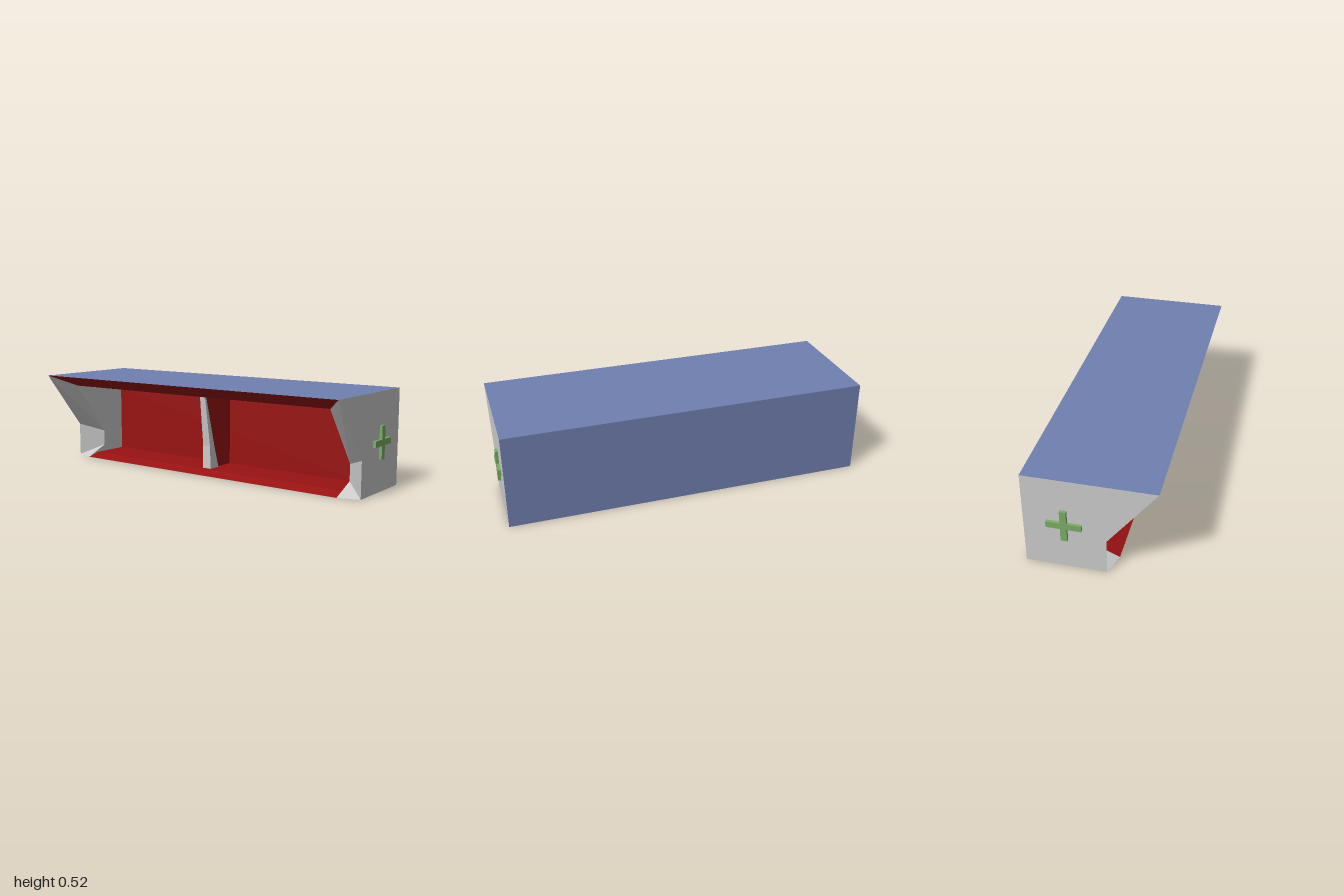
import * as THREE from 'three';

const material = (color) => new THREE.MeshStandardMaterial({ color, side: THREE.DoubleSide, flatShading: true });
const GREY = material(0xcccccc), BLUE = material(0x7080b0), RED = material(0x991212), GREEN = material(0x7aad66);

const W = 0.985, INNER = 0.87; // half widths: outer shell, inner compartment
const BACK = -0.33, PANEL = -0.18; // z of the outer back and of the inner back panel

// Flat convex faces, each a list of [x, y, z] corners
function faces(name, list, mat) {
  const p = [];
  for (const f of list) for (let i = 1; i < f.length - 1; i++) p.push(...f[0], ...f[i], ...f[i + 1]);
  const g = new THREE.BufferGeometry();
  g.setAttribute('position', new THREE.Float32BufferAttribute(p, 3));
  g.computeVertexNormals();
  const m = new THREE.Mesh(g, mat);
  m.name = name;
  return m;
}

const outline = (pts) => new THREE.Shape(pts.map(([z, y]) => new THREE.Vector2(z, y)));

// Upright side panel drawn from [z, y] points
function sidePanel(name, pts, x, mat) {
  const g = new THREE.ShapeGeometry(outline(pts));
  g.rotateY(-Math.PI / 2);
  const m = new THREE.Mesh(g, mat);
  m.name = name;
  m.position.x = x;
  return m;
}

// Strip across the width through points [halfWidth, y, z]
function crossStrip(name, pts, mat) {
  const list = [];
  for (let i = 0; i < pts.length - 1; i++) {
    const [a, y0, z0] = pts[i], [b, y1, z1] = pts[i + 1];
    list.push([[-a, y0, z0], [a, y0, z0], [b, y1, z1], [-b, y1, z1]]);
  }
  return faces(name, list, mat);
}

export function createModel() {
  const model = new THREE.Group();

  // Outer shell
  model.add(crossStrip('roof', [[W, 0.52, 0.33], [W, 0.52, BACK]], BLUE));
  model.add(crossStrip('backWall', [[W, 0.52, BACK], [W, 0, BACK]], BLUE));
  model.add(crossStrip('underside', [[W, 0, BACK], [W, 0, 0.08], [INNER, 0, 0.115]], BLUE));

  // Compartment lining
  model.add(crossStrip('ceiling', [[W, 0.52, 0.33], [INNER, 0.455, 0.2], [INNER, 0.41, PANEL]], RED));
  model.add(crossStrip('backPanel', [[INNER, 0.41, PANEL], [INNER, 0.02, PANEL]], RED));
  model.add(crossStrip('floor', [[INNER, 0.02, PANEL], [INNER, 0.02, 0.045], [INNER, 0, 0.115]], RED));

  // Ends: outer plate, flared inner edge, inner wall and cross emblem
  for (const s of [1, -1]) {
    const end = new THREE.Group();
    end.name = s > 0 ? 'leftEnd' : 'rightEnd';
    const outer = [[0.33, 0.52], [0.08, 0.195], [0.08, 0]];
    const inner = [[0.2, 0.455], [-0.02, 0.15], [-0.02, 0.06]];
    const lip = [0.115, 0];
    end.add(sidePanel('endPlate', [...outer, [BACK, 0], [BACK, 0.52]], s * W, GREY));
    end.add(sidePanel('innerWall', [...inner, lip, [0.045, 0.02], [PANEL, 0.02], [PANEL, 0.41]], s * INNER, GREY));

    const o = outer.map(([z, y]) => [s * W, y, z]);
    const n = [...inner, lip].map(([z, y]) => [s * INNER, y, z]);
    end.add(faces('flare', [[o[0], o[1], n[1], n[0]], [o[1], o[2], n[2], n[1]], [o[2], n[3], n[2]]], GREY));

    // Plus-shaped emblem, one outline extruded outward
    const a = 0.0875, t = 0.0165;
    const plus = [[t, a], [t, t], [a, t], [a, -t], [t, -a], [-t, -a], [-a, -t], [-a, t], [-t, a]];
    plus.splice(4, 0, [t, -t]);
    plus.splice(6, 0, [-t, -t]);
    plus.splice(7, 0);
    const corners = [[t, a], [t, t], [a, t], [a, -t], [t, -t], [t, -a], [-t, -a], [-t, -t], [-a, -t], [-a, t], [-t, t], [-t, a]];
    const g = new THREE.ExtrudeGeometry(outline(corners), { depth: 0.015, bevelEnabled: false });
    g.rotateY(s * Math.PI / 2);
    const cross = new THREE.Mesh(g, GREEN);
    cross.name = 'crossEmblem';
    cross.position.set(s * W, 0.26, -0.126);
    end.add(cross);
    model.add(end);
  }

  // Central divider: tapered post with a web running to the back panel
  const divider = new THREE.Group();
  divider.name = 'divider';
  const rings = [
    [0.02, -0.045, 0.01, -0.055, 0.02],
    [0.15, -0.042, 0.007, -0.02, 0.02],
    [0.45, -0.035, 0, 0.05, 0.06],
  ].map(([y, x0, x1, z0, z1]) => [[x0, y, z1], [x1, y, z1], [x1, y, z0], [x0, y, z0]]);
  const list = [rings[0], rings[2]];
  for (let r = 0; r < 2; r++) for (let i = 0; i < 4; i++) {
    const j = (i + 1) % 4;
    list.push([rings[r][i], rings[r][j], rings[r + 1][j], rings[r + 1][i]]);
  }
  divider.add(faces('dividerPost', list, GREY));
  const webShape = outline([[PANEL, 0.02], [-0.055, 0.02], [-0.02, 0.15], [0.05, 0.437], [PANEL, 0.41]]);
  const webGeometry = new THREE.ExtrudeGeometry(webShape, { depth: 0.035, bevelEnabled: false });
  webGeometry.rotateY(-Math.PI / 2);
  const web = new THREE.Mesh(webGeometry, RED);
  web.name = 'dividerWeb';
  divider.add(web);
  model.add(divider);

  return model;
}
